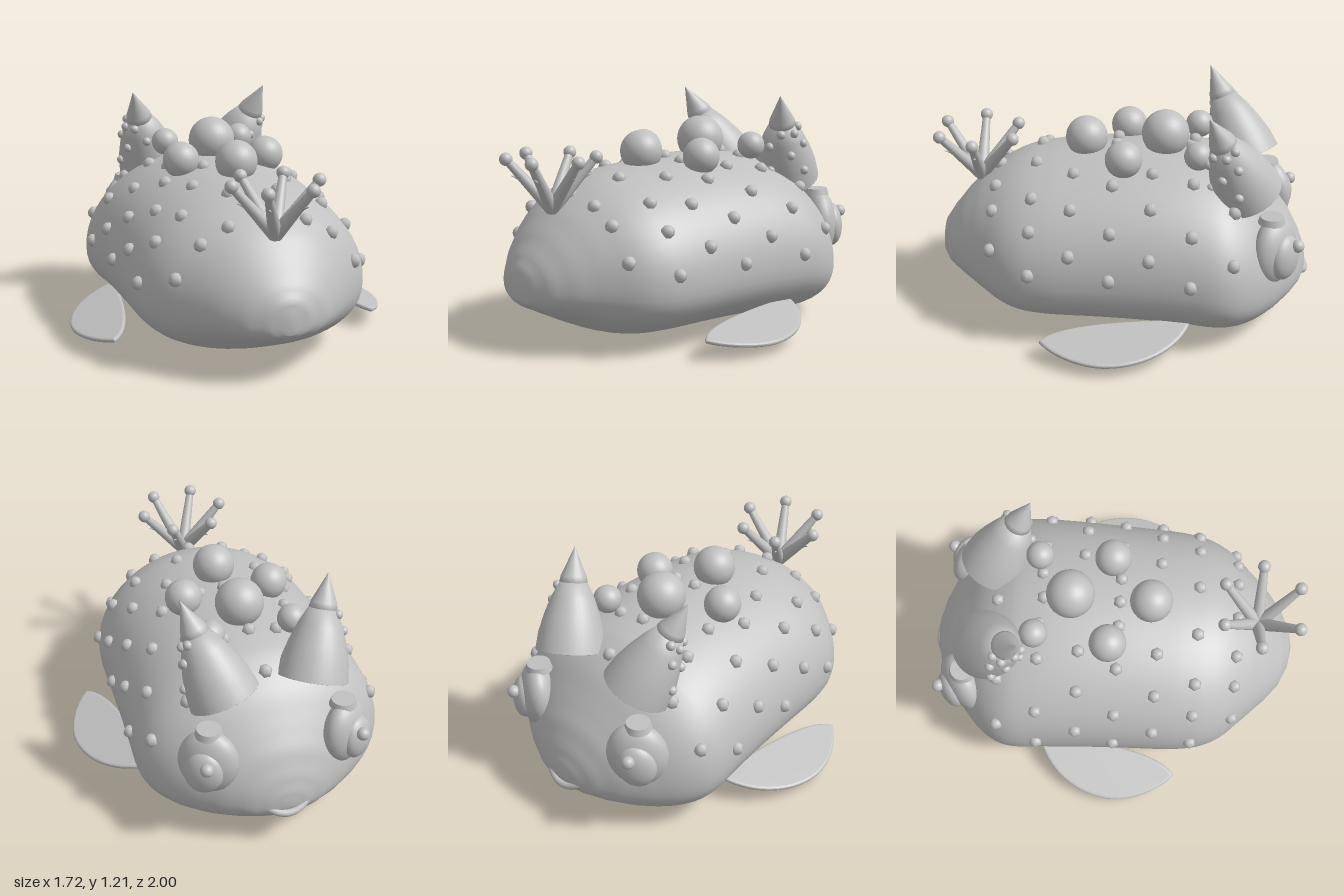
import * as THREE from 'three';

const skin = new THREE.MeshStandardMaterial({ color: 0xc0c0c0 });
skin.name = 'grey skin';
const V = (x, y, z) => new THREE.Vector3(x, y, z);
const UP = V(0, 1, 0);

// Body stations: z, half width, top, bottom
const stations = [
  [0.99, 0.03, 0.36, 0.27], [0.975, 0.11, 0.43, 0.25], [0.93, 0.21, 0.50, 0.22], [0.85, 0.31, 0.60, 0.18],
  [0.75, 0.41, 0.70, 0.13], [0.62, 0.53, 0.785, 0.075], [0.5, 0.59, 0.835, 0.045], [0.35, 0.615, 0.865, 0.035],
  [0.1, 0.625, 0.89, 0.032], [-0.15, 0.635, 0.90, 0.025], [-0.35, 0.645, 0.89, 0.015], [-0.5, 0.65, 0.86, 0.005],
  [-0.6, 0.625, 0.81, 0.012], [-0.7, 0.555, 0.735, 0.035], [-0.8, 0.44, 0.62, 0.075], [-0.88, 0.32, 0.52, 0.12],
  [-0.94, 0.2, 0.41, 0.165], [-0.97, 0.1, 0.33, 0.2], [-0.978, 0.03, 0.28, 0.23],
];
const profile = new THREE.CatmullRomCurve3(stations.map(s => V(s[1], s[2], s[3])), false, 'catmullrom');

// Section of the body at any z
function sectionAt(z) {
  let i = 0;
  while (i < stations.length - 2 && z < stations[i + 1][0]) i++;
  const f = (z - stations[i][0]) / (stations[i + 1][0] - stations[i][0]);
  const p = profile.getPoint((i + f) / (stations.length - 1));
  return { w: p.x, top: p.y, bot: p.z, mid: p.z + 0.38 * (p.y - p.z) };
}

function bodyGeometry() {
  const pos = [], index = [], N = 56, sub = 4, rings = (stations.length - 1) * sub + 1;
  for (let r = 0; r < rings; r++) {
    const i = Math.min(Math.floor(r / sub), stations.length - 2);
    const z = THREE.MathUtils.lerp(stations[i][0], stations[i + 1][0], r / sub - i);
    const s = sectionAt(z);
    for (let j = 0; j < N; j++) {
      const a = j / N * Math.PI * 2, c = Math.cos(a), n = Math.sin(a);
      const e = n >= 0 ? 1 : 2 / 2.3;
      const x = s.w * Math.sign(c) * Math.abs(c) ** e;
      const k = Math.sign(n) * Math.abs(n) ** e;
      pos.push(x, s.mid + k * (k > 0 ? s.top - s.mid : s.mid - s.bot), z);
      if (r < rings - 1) {
        const A = r * N + j, C = r * N + (j + 1) % N;
        index.push(A, A + N, C, A + N, C + N, C);
      }
    }
  }
  // End caps
  const first = pos.length / 3, last = (rings - 1) * N;
  pos.push(0, 0.31, 0.993, 0, 0.25, -0.98);
  for (let j = 0; j < N; j++) {
    const k = (j + 1) % N;
    index.push(first, j, k, first + 1, last + k, last + j);
  }
  const g = new THREE.BufferGeometry();
  g.setAttribute('position', new THREE.Float32BufferAttribute(pos, 3));
  g.setIndex(index);
  g.computeVertexNormals();
  return g;
}

function add(parent, name, geo, p) {
  const m = new THREE.Mesh(geo, skin);
  m.name = name;
  if (p) m.position.copy(p);
  parent.add(m);
  return m;
}
const ball = (parent, name, r, p) => add(parent, name, new THREE.SphereGeometry(r, 28, 18), p);

// Tapered rod between two points
function rod(parent, name, a, b, r0, r1) {
  const d = b.clone().sub(a);
  const m = add(parent, name, new THREE.CylinderGeometry(r1, r0, d.length(), 12), a.clone().lerp(b, 0.5));
  m.quaternion.setFromUnitVectors(UP, d.normalize());
  return m;
}

export function createModel() {
  const model = new THREE.Group();
  model.name = 'bumpyFish';
  add(model, 'body', bodyGeometry());

  // Large domes along the back
  ball(model, 'backDome', 0.125, V(0, 0.967, -0.215));
  ball(model, 'backDome', 0.11, V(0, 0.937, 0.2));

  // Rows of small warts: z, offsets from the midline, then heights on the flanks
  const wartGeo = new THREE.SphereGeometry(0.036, 6, 6);
  const wart = (x, y, z) => add(model, 'wart', wartGeo, V(x, y, z));
  const rows = [
    [-0.58, [], [0.71, 0.51]], [-0.37, [0.14], [0.82, 0.64, 0.41]], [-0.16, [], [0.85, 0.74, 0.53]],
    [0.04, [0.13], [0.81, 0.64, 0.42]], [0.245, [0.25], [0.72, 0.53]],
    [0.45, [0.13, 0.37], [0.62, 0.42]], [0.66, [0.2], [0.65, 0.49]],
  ];
  for (const [z, xs, ys] of rows) {
    const s = sectionAt(z), h = s.top - s.mid;
    const spots = [
      ...xs.map(x => [x, s.mid + h * Math.sqrt(1 - (x / s.w) ** 2)]),
      ...ys.map(y => [s.w * Math.sqrt(Math.max(0, 1 - ((y - s.mid) / h) ** 2)), y]),
    ];
    for (const [x, y] of spots) for (const side of [-1, 1]) wart(side * x, y, z);
  }
  for (const z of [-0.6, -0.355, 0.04, 0.66]) wart(0, sectionAt(z).top, z);

  // Crown of six knobbed stalks with thorns
  const crown = new THREE.Group();
  crown.name = 'stalkCrown';
  crown.position.set(0, 0.7, 0.77);
  model.add(crown);
  for (let i = 0; i < 6; i++) {
    const a = i * Math.PI / 3, dir = V(Math.cos(a), 0, Math.sin(a));
    const tip = dir.clone().multiplyScalar(0.222).setY(0.255);
    rod(crown, 'stalk', V(0, 0, 0), tip, 0.036, 0.02);
    ball(crown, 'stalkKnob', 0.033, tip);
    const root = tip.clone().multiplyScalar(0.6);
    rod(crown, 'thorn', root, root.clone().addScaledVector(dir, 0.065).setY(root.y + 0.02), 0.018, 0.001);
  }

  // Horn profile and fin outline
  const hornGeo = new THREE.LatheGeometry([[0, 0], [0.18, 0], [0.18, 0.001], [0.168, 0.09], [0.143, 0.18],
    [0.11, 0.27], [0.07, 0.35], [0, 0.36]].map(p => new THREE.Vector2(...p)), 32);
  const tipGeo = new THREE.LatheGeometry([[0, 0], [0.05, 0.0], [0.072, 0.02], [0.066, 0.05], [0.035, 0.12],
    [0, 0.2]].map(p => new THREE.Vector2(...p)), 20);
  const fin = new THREE.Shape();
  fin.moveTo(0.01, -0.37);
  fin.bezierCurveTo(0.22, -0.32, 0.34, -0.13, 0.345, 0.05);
  fin.bezierCurveTo(0.345, 0.18, 0.27, 0.32, 0.195, 0.38);
  fin.quadraticCurveTo(0.06, 0.3, 0.01, -0.37);
  const finGeo = new THREE.ExtrudeGeometry(fin, {
    depth: 0.005, curveSegments: 20, bevelThickness: 0.01, bevelSize: 0.015, bevelOffset: -0.01, bevelSegments: 4,
  });
  finGeo.rotateX(Math.PI / 2);

  for (const side of [1, -1]) {
    const name = side > 0 ? 'left' : 'right';
    ball(model, name + 'MiddleDome', 0.096, V(side * 0.235, 0.915, -0.01));
    ball(model, name + 'FrontDome', 0.073, V(side * 0.215, 0.937, -0.39));

    // Horn with pointed tip and studs
    const horn = new THREE.Group();
    horn.name = name + 'Horn';
    horn.position.set(side * 0.23, 0.75, -0.65);
    horn.quaternion.setFromUnitVectors(UP, V(side * 0.15, 0.46, 0.21).normalize());
    model.add(horn);
    add(horn, 'hornBase', hornGeo);
    add(horn, 'hornTip', tipGeo, V(0, 0.328, 0));
    for (const [a, y, r] of [[0.1, 0.12, 0.16], [0.5, 0.22, 0.127], [-0.3, 0.25, 0.117], [0, 0.32, 0.085],
      [0.9, 0.33, 0.08], [1.3, 0.14, 0.155], [-0.7, 0.33, 0.08], [1.5, 0.26, 0.112]]) {
      ball(horn, 'hornStud', 0.024, V(side * r * Math.cos(a), y, r * Math.sin(a)));
    }

    // Bulging eye with pupil, bead and flat lid
    const eye = new THREE.Group();
    eye.name = name + 'Eye';
    eye.position.set(side * 0.36, 0.49, -0.79);
    eye.quaternion.setFromUnitVectors(V(0, 0, 1), V(side * 0.58, 0.05, -0.8).normalize());
    model.add(eye);
    ball(eye, 'eyeball', 1, V(0, 0, 0)).scale.set(0.155, 0.18, 0.09);
    ball(eye, 'pupil', 1, V(0, -0.02, 0.065)).scale.set(0.1, 0.12, 0.06);
    ball(model, name + 'EyeBead', 0.033, V(side * 0.405, 0.54, -0.905));
    add(model, name + 'EyeLid', new THREE.CylinderGeometry(0.06, 0.07, 0.035, 28), V(side * 0.35, 0.66, -0.77));

    // Side fin
    const finGroup = new THREE.Group();
    finGroup.name = name + 'Fin';
    finGroup.rotation.y = side > 0 ? 0 : Math.PI;
    model.add(finGroup);
    const geo = finGeo.clone();
    if (side < 0) geo.scale(1, 1, -1);
    if (side < 0) {
      const p = geo.attributes.position, n = geo.attributes.normal;
      for (let i = 0; i < p.count; i += 3) for (const attr of [p, n]) {
        const t = V().fromBufferAttribute(attr, i), u = V().fromBufferAttribute(attr, i + 1);
        attr.setXYZ(i, u.x, u.y, u.z);
        attr.setXYZ(i + 1, t.x, t.y, t.z);
      }
    }
    add(finGroup, 'fin', geo, V(0.52, 0.155, 0)).rotation.z = -0.25;
  }

  // Small curved mouth
  const lip = new THREE.QuadraticBezierCurve3(V(-0.1, 0.235, -0.95), V(0, 0.17, -1.01), V(0.1, 0.235, -0.95));
  add(model, 'mouth', new THREE.TubeGeometry(lip, 20, 0.02, 12));
  for (const x of [-0.1, 0.1]) ball(model, 'mouthCorner', 0.02, V(x, 0.235, -0.95));

  return model;
}
